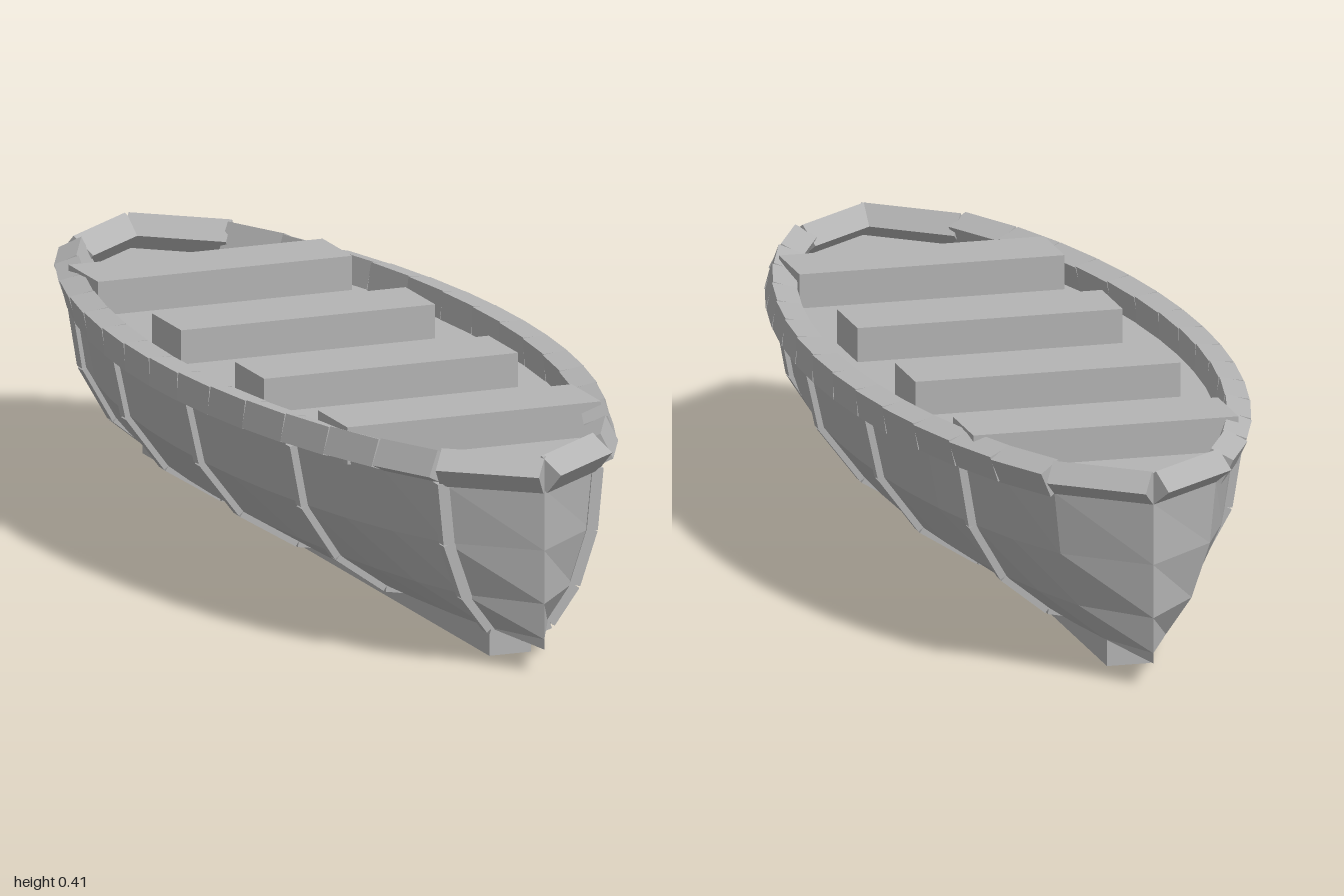
import * as THREE from 'three';

const STATIONS = 16, HALF_LENGTH = 0.978, HALF_BEAM = 0.345;
// Half section from the top edge down to the keel line: [fraction of beam, y]
const HALF_SECTION = [[1, 0.345], [0.925, 0.23], [0.7, 0.13], [0.38, 0.064], [0, 0.045]];
// Full section, left top edge round the bottom to right top edge
const SECTION = [
  ...HALF_SECTION,
  ...HALF_SECTION.slice(0, -1).reverse().map(([x, y]) => [-x, y]),
];

const stationZ = (i) => -HALF_LENGTH + (2 * HALF_LENGTH * i) / STATIONS;
const stationBeam = (i) => HALF_BEAM * Math.sqrt(Math.max(0, Math.sin((Math.PI * i) / STATIONS)));
const sectionAt = (i, section) =>
  section.map(([x, y]) => new THREE.Vector3(x * stationBeam(i), y, stationZ(i)));

// Skin stretched over one section per station
function loft(section) {
  const points = [], index = [], n = section.length;
  for (let i = 0; i <= STATIONS; i++) {
    sectionAt(i, section).forEach((p) => points.push(p));
    if (i === STATIONS) break;
    for (let j = 0; j < n - 1; j++) {
      const a = i * n + j, b = a + 1, c = a + n, d = c + 1;
      index.push(a, c, b, b, c, d);
    }
  }
  const geometry = new THREE.BufferGeometry().setFromPoints(points);
  geometry.setIndex(index);
  const flat = geometry.toNonIndexed();
  flat.computeVertexNormals();
  return flat;
}

export function createModel() {
  const boat = new THREE.Group();
  boat.name = 'rowingBoat';
  const grey = new THREE.MeshStandardMaterial({ color: 0xb4b4b4 });
  grey.name = 'grey';

  function add(parent, name, geometry) {
    const mesh = new THREE.Mesh(geometry, grey);
    mesh.name = name;
    parent.add(mesh);
    return mesh;
  }
  function group(name) {
    const g = new THREE.Group();
    g.name = name;
    boat.add(g);
    return g;
  }
  // Square bar running from a to b
  function bar(parent, name, a, b, width, depth) {
    const mesh = add(parent, name, new THREE.BoxGeometry(width, a.distanceTo(b), depth));
    mesh.position.copy(a).lerp(b, 0.5);
    mesh.quaternion.setFromUnitVectors(new THREE.Vector3(0, 1, 0), b.clone().sub(a).normalize());
  }

  // Hull and the flat deck that closes it
  add(boat, 'hull', loft(SECTION));
  add(boat, 'deck', loft([[-1, 0.345], [1, 0.345]]));

  // Keel
  add(boat, 'keel', new THREE.BoxGeometry(0.082, 0.054, 1.63)).position.set(0, 0.027, 0.003);

  // Gunwale: straight bars between stations on both sides
  const gunwale = group('gunwale');
  for (const side of [1, -1]) {
    const railPoint = (i) => new THREE.Vector3(side * stationBeam(i), 0.373, stationZ(i));
    for (let i = 0; i < STATIONS; i++) {
      bar(gunwale, 'gunwaleSegment', railPoint(i), railPoint(i + 1), 0.046, 0.052);
    }
  }

  // Ribs following the hull section at every third station
  const ribs = group('ribs');
  for (let i = 3; i < STATIONS; i += 3) {
    const points = sectionAt(i, SECTION);
    for (let j = 0; j < points.length - 1; j++) {
      bar(ribs, 'ribSegment', points[j], points[j + 1], 0.022, 0.024);
    }
  }

  // Bench seats
  const benches = group('benches');
  for (const z of [-0.59, -0.2, 0.19, 0.58]) {
    add(benches, 'bench', new THREE.BoxGeometry(0.5, 0.07, 0.138)).position.set(0, 0.374, z);
  }

  return boat;
}
